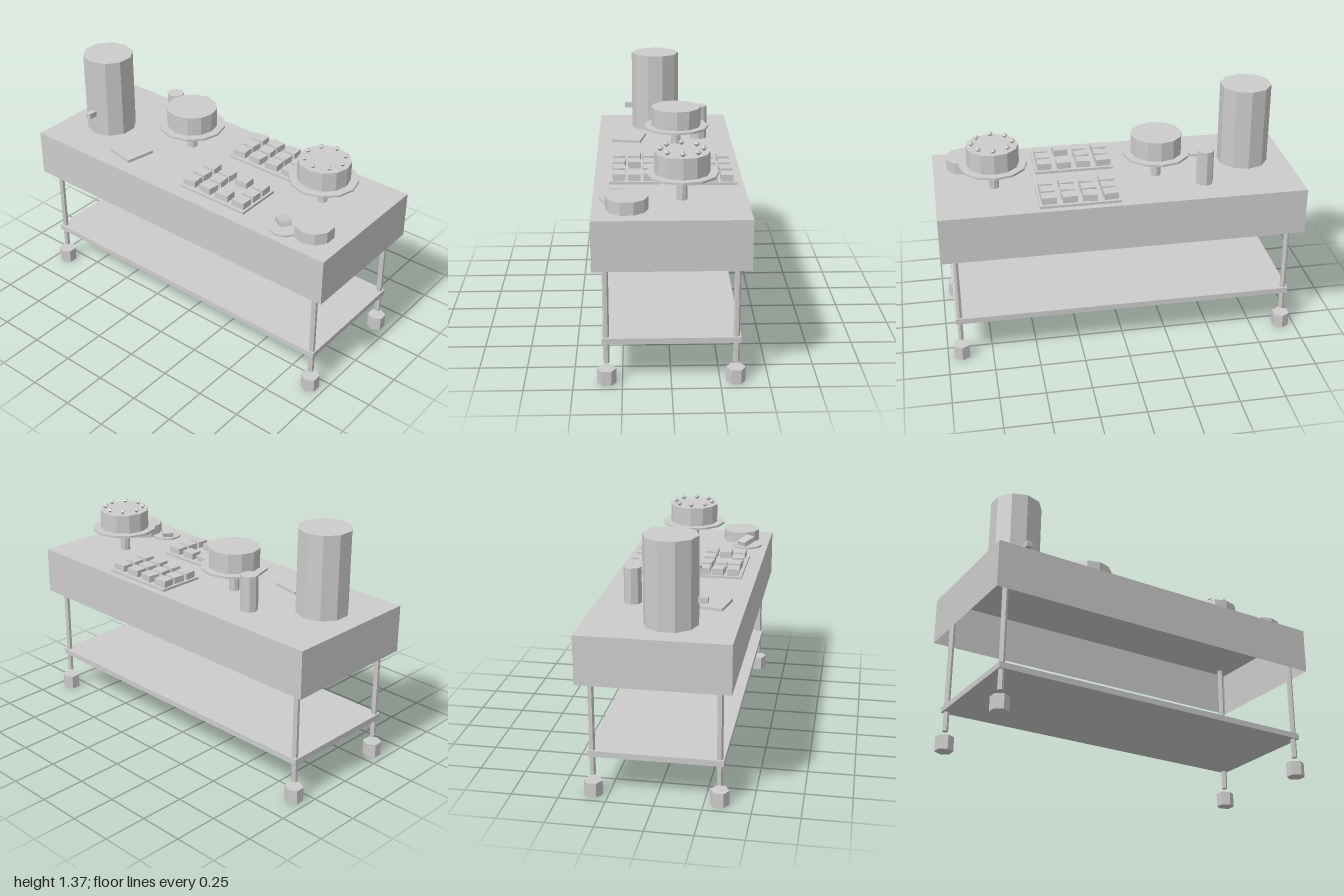
import * as THREE from 'three';

export function createModel() {
  const model = new THREE.Group();
  const grey = new THREE.MeshStandardMaterial({ color: 0xcccccc, flatShading: true });
  grey.name = 'plain grey';
  const greyCloth = grey.clone();
  greyCloth.side = THREE.DoubleSide;

  const add = (name, geometry, x, y, z, parent = model) => {
    const mesh = new THREE.Mesh(geometry, grey);
    mesh.name = name;
    mesh.position.set(x, y, z);
    parent.add(mesh);
    return mesh;
  };
  // Both helpers place a part by its bottom and top heights
  const cyl = (name, r, sides, x, z, y0, y1, parent) =>
    add(name, new THREE.CylinderGeometry(r, r, y1 - y0, sides), x, (y0 + y1) / 2, z, parent);
  const box = (name, w, d, x, z, y0, y1, parent) =>
    add(name, new THREE.BoxGeometry(w, y1 - y0, d), x, (y0 + y1) / 2, z, parent);
  const group = (name) => {
    const g = new THREE.Group();
    g.name = name;
    model.add(g);
    return g;
  };

  const TOP = 0.903;

  // Tablecloth: a box left open underneath (bottom face group removed)
  const cloth = new THREE.BoxGeometry(2, TOP - 0.64, 0.79);
  const index = Array.from(cloth.index.array);
  index.splice(18, 6);
  cloth.setIndex(index);
  cloth.clearGroups();
  add('tablecloth', cloth, 0, (TOP + 0.64) / 2, 0).material = greyCloth;

  // Trolley frame
  box('lowerShelf', 1.89, 0.706, 0, 0, 0.223, 0.255);
  for (const x of [-0.922, 0.922]) {
    for (const z of [-0.33, 0.33]) {
      cyl('leg', 0.016, 6, x, z, 0.113, TOP - 0.005);
      cyl('wheel', 0.05, 6, x, z, 0, 0.08);
    }
  }

  // Drinks urn with its tap
  const urn = group('urn');
  cyl('urnBody', 0.142, 10, -0.75, 0.052, TOP, 1.365, urn);
  box('urnTap', 0.032, 0.06, -0.75, 0.21, 1.02, 1.052, urn);

  // Cup stack and folded napkins
  cyl('cupStack', 0.048, 8, -0.467, -0.203, TOP, 1.1);
  box('napkins', 0.172, 0.172, -0.442, 0.214, TOP, 0.919).rotation.y = -0.2;

  // Cake stands
  const cakeStand = (x, z, cherries) => {
    const stand = group('cakeStand');
    cyl('standStem', 0.028, 8, x, z, TOP, 1.037, stand);
    cyl('standPlate', 0.186, 12, x, z, 1.035, 1.047, stand);
    cyl('cake', 0.142, 12, x, z, 1.047, 1.156, stand);
    for (let i = 0; i < cherries; i++) {
      const a = (i / cherries) * Math.PI * 2;
      add('cherry', new THREE.OctahedronGeometry(0.017),
        x + 0.109 * Math.cos(a), 1.171, z + 0.109 * Math.sin(a), stand);
    }
  };
  cakeStand(-0.222, -0.06, 0);
  cakeStand(0.678, -0.06, 8);

  // Trays of pastries, each slightly turned
  const pastryTray = (x, z, missing) => {
    const tray = group('pastryTray');
    box('tray', 0.438, 0.267, x, z, TOP, 0.917, tray);
    for (let i = 0; i < 12; i++) {
      if (i === missing) continue;
      const col = i % 4, row = Math.floor(i / 4);
      const pastry = box('pastry', 0.078, 0.066, x + (col - 1.5) * 0.111,
        z + (row - 1) * 0.082, 0.917, 0.954, tray);
      pastry.rotation.y = 0.09 * Math.sin(i * 2.4 + x * 9);
    }
  };
  pastryTray(0.241, -0.226, -1);
  pastryTray(0.219, 0.181, 6);

  // Small plate with a tilted slice, and the stack of plates beside it
  cyl('smallPlate', 0.087, 10, 0.675, 0.272, TOP, 0.914);
  const slice = box('cakeSlice', 0.092, 0.062, 0.66, 0.265, 0.921, 0.951);
  slice.rotation.set(0, -0.62, 0.24);
  cyl('plateStack', 0.108, 10, 0.82, 0.219, TOP, 0.97);

  return model;
}
